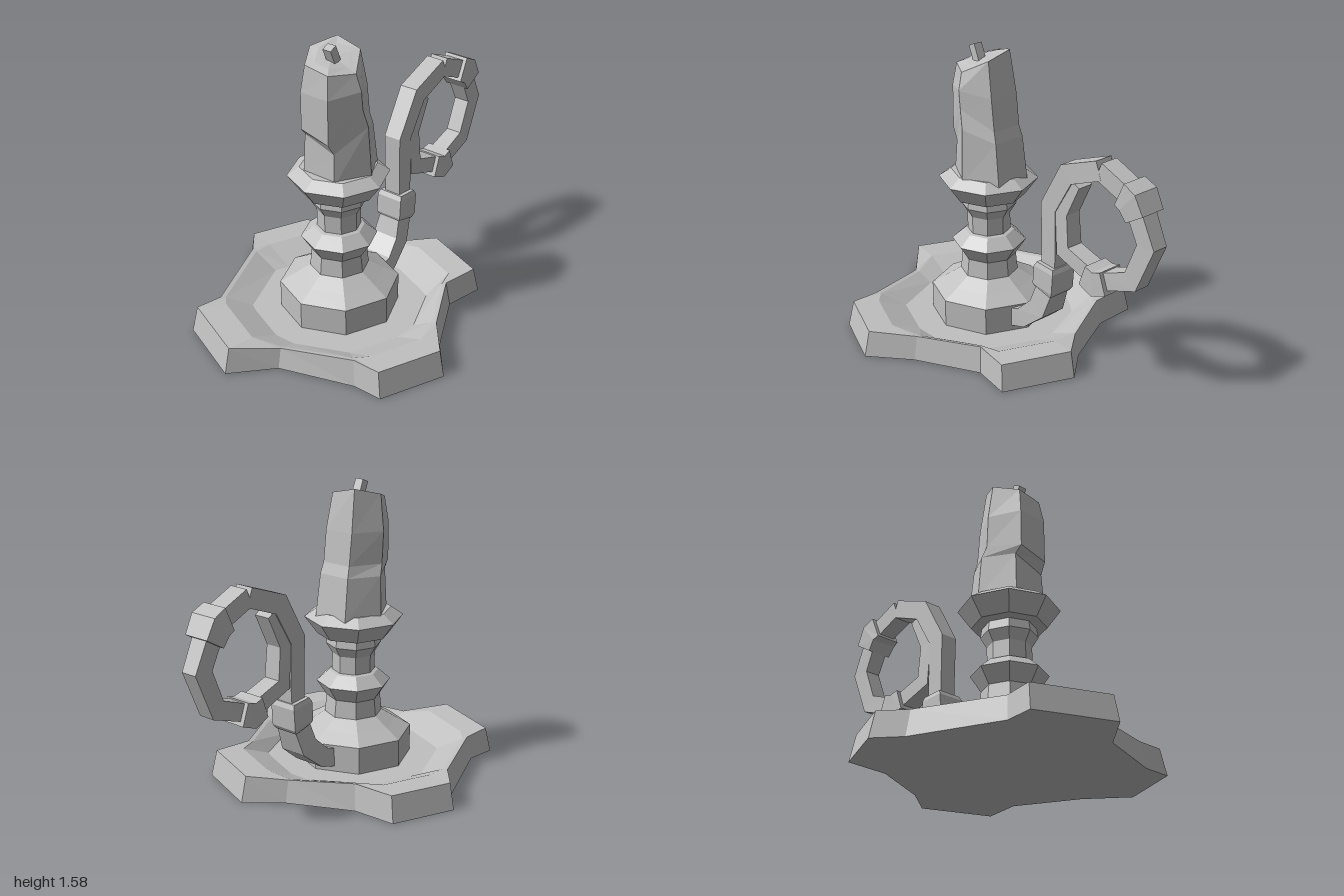
import * as THREE from 'three';

const AXIS = -0.215; // x of the candlestick's axis

// Skin equal-length rings of points, close both ends, and face outwards.
function loft(rings) {
  const tris = [];
  const n = rings[0].length;
  for (let i = 0; i < rings.length - 1; i++) {
    for (let j = 0; j < n; j++) {
      const k = (j + 1) % n;
      const a = rings[i][j], b = rings[i][k], c = rings[i + 1][k], d = rings[i + 1][j];
      tris.push([a, b, c], [a, c, d]);
    }
  }
  const cap = (ring, flip) => {
    const mid = ring.reduce((s, p) => s.add(p), new THREE.Vector3()).divideScalar(n);
    for (let j = 0; j < n; j++) {
      const a = ring[j], b = ring[(j + 1) % n];
      tris.push(flip ? [mid, b, a] : [mid, a, b]);
    }
  };
  cap(rings[0], true);
  cap(rings[rings.length - 1], false);
  const cross = new THREE.Vector3();
  const volume = tris.reduce((s, [a, b, c]) => s + a.dot(cross.crossVectors(b, c)), 0);
  const points = tris.flatMap(([a, b, c]) => (volume < 0 ? [a, c, b] : [a, b, c]));
  const geo = new THREE.BufferGeometry().setFromPoints(points);
  geo.computeVertexNormals();
  return geo;
}

// Sweep a rectangular bar along [x, y, half thickness, half depth] stations.
function bar(path, zMid = -0.004) {
  const dir = (a, b) => new THREE.Vector2(b[0] - a[0], b[1] - a[1]).normalize();
  return loft(path.map((p, i) => {
    const before = i > 0 ? dir(path[i - 1], p) : dir(p, path[1]);
    const after = i < path.length - 1 ? dir(p, path[i + 1]) : before;
    const t = before.clone().add(after).normalize();
    const w = p[2] / Math.max(0.6, t.dot(before));
    return [[-1, -1], [1, -1], [1, 1], [-1, 1]].map(([s, d]) =>
      new THREE.Vector3(p[0] - t.y * w * s, p[1] + t.x * w * s, zMid + d * p[3]));
  }));
}

// Dished base with five broad lobes
function baseGeometry() {
  // [x, z, rim height] around the outline
  const outline = [
    [-0.08, -0.775, 0.14], [0.245, -0.635, 0.14], [0.255, -0.4, 0.14], [0.415, -0.07, 0.12],
    [0.56, 0.105, 0.14], [0.415, 0.47, 0.14], [0.2, 0.43, 0.14], [-0.13, 0.6, 0.13],
    [-0.335, 0.77, 0.14], [-0.675, 0.63, 0.14], [-0.675, 0.47, 0.14], [-0.8, 0.08, 0.11],
    [-1, -0.1, 0.14], [-0.835, -0.495, 0.14], [-0.675, -0.475, 0.13], [-0.21, -0.665, 0.14],
  ];
  const ring = (radius, height) => outline.map(([x, z, y]) => {
    const a = Math.atan2(z, x - AXIS);
    const r = radius(Math.hypot(x - AXIS, z), a);
    return new THREE.Vector3(AXIS + r * Math.cos(a), height(y), r * Math.sin(a));
  });
  const e = Math.PI / 8;
  const octagon = (r, a) => {
    const local = (a + Math.PI * 2) % (2 * e) - e;
    return 0.47 * Math.cos(e) / Math.cos(local);
  };
  return loft([
    ring((r) => r, () => 0),
    ring((r) => r * 0.96, (y) => y),
    ring((r) => Math.min(r * 0.92, 0.61), (y) => y - 0.005),
    ring(octagon, () => 0.065),
  ]);
}

// Leaning six-sided candle with a wax run bulging on its front left
function candleGeometry() {
  // centre x, half width in x, half depth, six heights (front, right pair, back, left pair)
  const layers = [
    [-0.195, 0.175, 0.2, [0.87, 0.87, 0.87, 0.87, 0.87, 0.87]],
    [-0.205, 0.155, 0.185, [1.16, 1.1, 1.1, 1.1, 1.1, 1.04]],
    [-0.232, 0.163, 0.172, [1.26, 1.16, 1.16, 1.16, 1.14, 1.1]],
    [-0.242, 0.153, 0.172, [1.36, 1.33, 1.33, 1.33, 1.34, 1.34]],
    [-0.25, 0.125, 0.145, [1.45, 1.52, 1.555, 1.52, 1.48, 1.46]],
    [-0.25, 0.085, 0.09, [1.47, 1.515, 1.53, 1.52, 1.49, 1.48]],
  ];
  return loft(layers.map(([cx, w, d, ys]) => ys.map((y, i) => {
    const a = i * Math.PI / 3;
    return new THREE.Vector3(cx + w * Math.sin(a) / Math.sin(Math.PI / 3), y, d * Math.cos(a));
  })));
}

export function createModel() {
  const group = new THREE.Group();
  const metal = new THREE.MeshStandardMaterial({ color: 0xc0c0c0, flatShading: true });
  metal.name = 'plain grey';
  const add = (name, geo) => {
    const mesh = new THREE.Mesh(geo, metal);
    mesh.name = name;
    group.add(mesh);
    return mesh;
  };

  add('base', baseGeometry());

  // Turned stem with foot, knop and candle cup
  const profile = [
    [0.315, 0.06], [0.315, 0.213], [0.235, 0.26], [0.155, 0.31], [0.145, 0.405], [0.2, 0.488],
    [0.135, 0.545], [0.115, 0.55], [0.115, 0.645], [0.148, 0.7], [0.14, 0.75],
    [0.195, 0.755], [0.265, 0.85], [0.2, 0.895], [0, 0.895],
  ].map(([r, y]) => new THREE.Vector2(r, y));
  add('stem', new THREE.LatheGeometry(profile, 8)).position.x = AXIS;

  add('candle', candleGeometry());
  const wick = add('wick', new THREE.BoxGeometry(0.045, 0.09, 0.05));
  wick.position.set(-0.275, 1.525, 0.015);
  wick.rotation.z = 0.4;

  // Handle: foot, upright and curled ring
  add('handleFoot', bar([
    [0.02, 0.135, 0.05, 0.095], [0.13, 0.165, 0.05, 0.09],
    [0.235, 0.255, 0.055, 0.075], [0.285, 0.4, 0.055, 0.06],
  ]));
  add('handleUpright', bar([
    [0.29, 0.42, 0.045, 0.048], [0.295, 0.6, 0.05, 0.048],
    [0.29, 0.85, 0.05, 0.05], [0.415, 1.065, 0.052, 0.052], [0.635, 1.15, 0.05, 0.052],
  ]));
  add('handleRing', bar([
    [0.635, 1.15, 0.05, 0.052], [0.84, 1.065, 0.05, 0.05], [0.943, 0.85, 0.05, 0.045],
    [0.855, 0.64, 0.048, 0.045], [0.635, 0.56, 0.045, 0.05], [0.395, 0.64, 0.042, 0.048],
    [0.378, 0.85, 0.04, 0.045], [0.47, 1.03, 0.035, 0.045],
  ]));

  // Collars around the handle
  add('uprightCollar', bar([
    [0.275, 0.37, 0.06, 0.07], [0.28, 0.39, 0.07, 0.078], [0.288, 0.5, 0.07, 0.078], [0.29, 0.525, 0.058, 0.07],
  ]));
  add('upperRingCollar', bar([
    [0.79, 1.085, 0.068, 0.072], [0.845, 1.06, 0.068, 0.076], [0.89, 0.985, 0.062, 0.072],
  ]));
  add('lowerRingCollar', bar([
    [0.7, 0.575, 0.06, 0.072], [0.63, 0.55, 0.062, 0.076], [0.56, 0.575, 0.06, 0.072],
  ]));
  return group;
}
